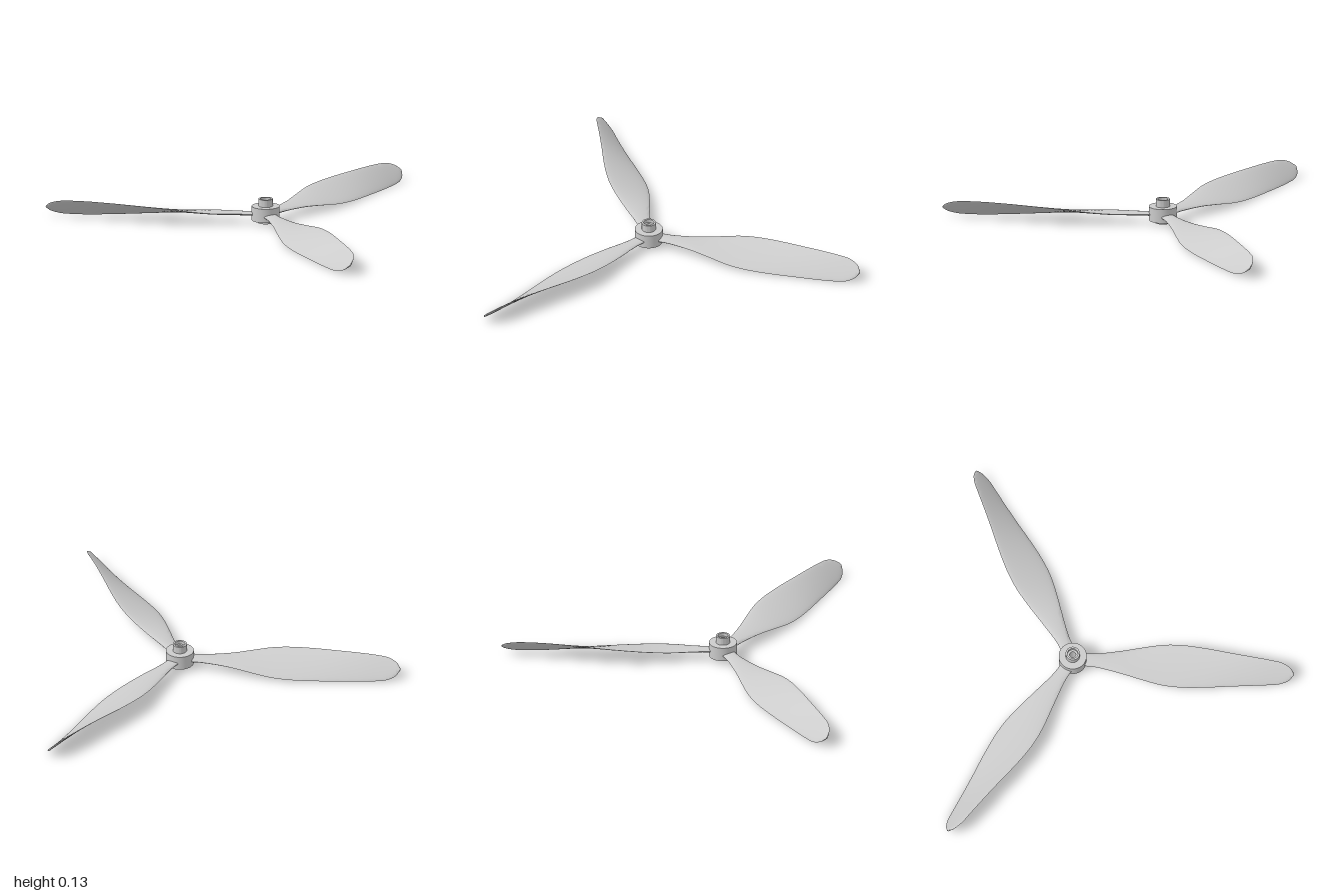
import * as THREE from 'three';
import { toCreasedNormals } from 'three/addons/utils/BufferGeometryUtils.js';

const MID = 0.054; // height of the blade axis
const HUB_Z = -0.288;

// Blade along +z: half extents of the chord in x and y, at a distance from the axis
const stations = [
  [0.035, 0.003, 0.05], [0.037, 0.003, 0.12], [0.062, 0.006, 0.26], [0.085, 0.017, 0.37],
  [0.102, 0.031, 0.48], [0.103, 0.039, 0.58], [0.092, 0.045, 0.70], [0.076, 0.049, 0.82],
  [0.063, 0.051, 0.93], [0.052, 0.049, 1.03], [0.044, 0.043, 1.09], [0.026, 0.026, 1.135],
  [0.004, 0.004, 1.157],
].map((p) => new THREE.Vector3(...p));

function bladeGeometry() {
  const curve = new THREE.CatmullRomCurve3(stations);
  const rows = 60, sides = 20;
  const pos = [], index = [];
  for (let i = 0; i <= rows; i++) {
    const { x: dx, y: dy, z } = curve.getPoint(i / rows);
    const half = Math.hypot(dx, dy);
    // thick at the root, thin outboard
    const thick = Math.min(THREE.MathUtils.lerp(0.011, 0.005, Math.min(1, z / 0.9)), half * 0.5);
    for (let j = 0; j < sides; j++) {
      const t = (j / sides) * Math.PI * 2;
      const u = Math.cos(t), v = (Math.sin(t) * thick) / half;
      pos.push(u * dx - v * dy, u * dy + v * dx, z);
    }
  }
  for (let i = 0; i < rows; i++) {
    for (let j = 0; j < sides; j++) {
      const a = i * sides + j, b = i * sides + ((j + 1) % sides);
      index.push(a, b, b + sides, a, b + sides, a + sides);
    }
  }
  // close the tip
  const last = rows * sides;
  for (let j = 1; j < sides - 1; j++) index.push(last, last + j, last + j + 1);
  const geo = new THREE.BufferGeometry();
  geo.setAttribute('position', new THREE.Float32BufferAttribute(pos, 3));
  geo.setIndex(index);
  return toCreasedNormals(geo, 0.9);
}

export function createModel() {
  const model = new THREE.Group();
  model.name = 'propeller';
  model.position.z = HUB_Z;
  const material = new THREE.MeshStandardMaterial({ color: 0xcccccc });

  // Hub turned on a lathe: lower collar, drum, upper sleeve, recess and through bore
  const profile = [
    [0.016, 0.008], [0.042, 0.008], [0.042, 0.014], [0.032, 0.014], [0.032, 0.022],
    [0.073, 0.022], [0.073, 0.097], [0.037, 0.097], [0.037, 0.136], [0.027, 0.136],
    [0.027, 0.118], [0.016, 0.118], [0.016, 0.008],
  ].map(([r, y]) => new THREE.Vector2(r, y));
  const hub = new THREE.Mesh(toCreasedNormals(new THREE.LatheGeometry(profile, 40), 0.6), material);
  hub.name = 'hub';
  model.add(hub);

  // Three twisted blades
  const geo = bladeGeometry();
  ['frontBlade', 'leftBlade', 'rightBlade'].forEach((name, i) => {
    const blade = new THREE.Mesh(geo, material);
    blade.name = name;
    blade.position.y = MID;
    blade.rotation.y = (i * Math.PI * 2) / 3;
    model.add(blade);
  });

  const root = new THREE.Group();
  root.add(model);
  return root;
}
